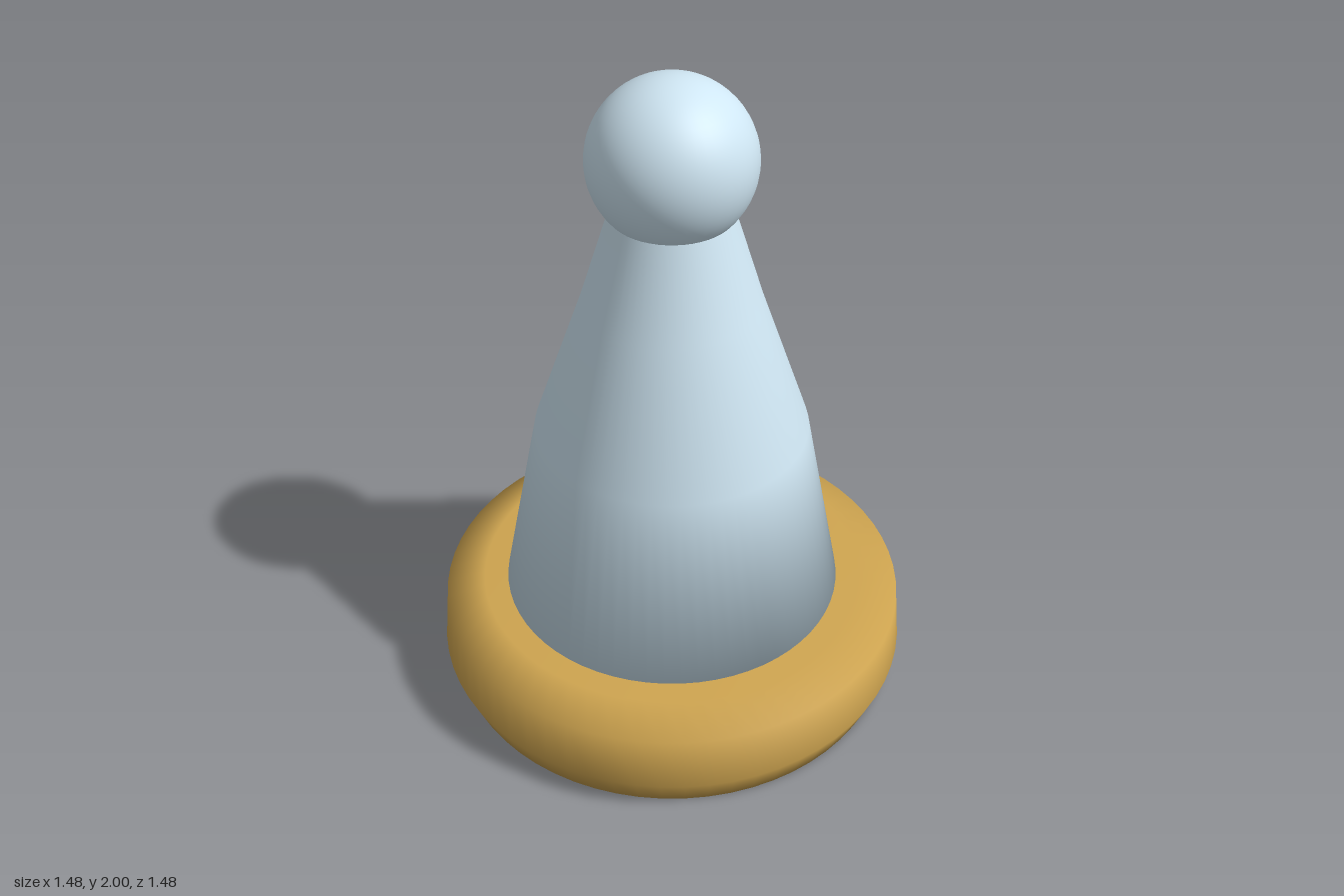
import * as THREE from 'three';

// Smooth turned part from [radius, height] pairs, listed bottom to top
function turned(name, profile, material) {
  const points = profile.map(([r, y]) => new THREE.Vector2(r, y));
  const mesh = new THREE.Mesh(new THREE.LatheGeometry(points, 64), material);
  mesh.name = name;
  return mesh;
}

export function createModel() {
  const group = new THREE.Group();
  group.name = 'gamePawn';
  const pale = new THREE.MeshStandardMaterial({ color: 0xcfe6f3 });
  const gold = new THREE.MeshStandardMaterial({ color: 0xcfa550 });

  // Round foot with bevelled rims
  group.add(turned('base', [
    [0, 0], [0.7, 0], [0.738, 0.095], [0.722, 0.265], [0.6, 0.305], [0, 0.305],
  ], gold));

  // Tapering body, closed underneath
  group.add(turned('body', [
    [0, 0.305], [0.526, 0.305], [0.412, 0.89], [0.265, 1.315], [0.177, 1.6],
  ], pale));

  // Ball on top
  const head = new THREE.Mesh(new THREE.SphereGeometry(0.24, 48, 32), pale);
  head.name = 'head';
  head.position.y = 1.76;
  group.add(head);

  return group;
}
